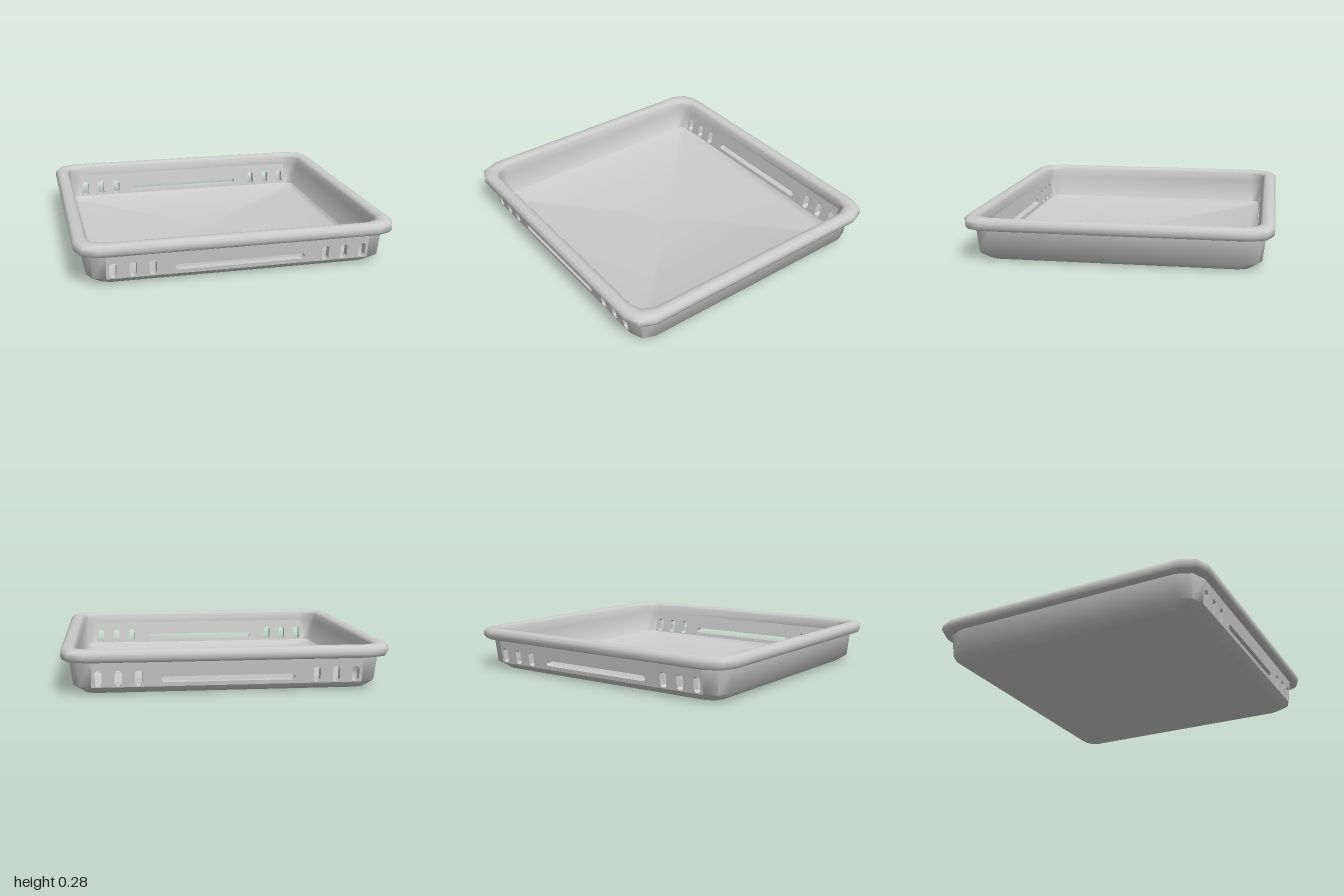
import * as THREE from 'three';
import { toCreasedNormals } from 'three/addons/utils/BufferGeometryUtils.js';

const material = new THREE.MeshStandardMaterial({ color: 0xcccccc });
const DEPTH_INSET = 0.055; // the tray is slightly shorter in z than in x
const WALL_X = 0.82; // half width of the slotted wall panels
const LOW = 0.045, HIGH = 0.2; // height range of the walls

// Cross-section from the underside, up and over the rim, down to the floor:
// [half width, height, corner radius]
const PROFILE = [
  [0.865, 0, 0.075],
  [0.93, LOW, 0.11],
  [0.95, HIGH, 0.13],
  [0.97, 0.2, 0.13],
  [0.99, 0.206, 0.13],
  [1, 0.225, 0.13],
  [1, 0.255, 0.13],
  [0.985, 0.273, 0.13],
  [0.955, 0.28, 0.125],
  [0.925, 0.273, 0.115],
  [0.912, 0.255, 0.11],
  [0.91, HIGH, 0.09],
  [0.88, LOW, 0.06],
  [0.84, 0.025, 0.05],
];
const OUTER_WALL = 1, INNER_WALL = 11; // profile steps that carry the panels

// Twelve points round a rectangle with two-segment corners
function ring([halfX, y, r]) {
  const points = [];
  for (let corner = 0; corner < 4; corner++) {
    const sx = corner === 0 || corner === 3 ? 1 : -1;
    const sz = corner < 2 ? 1 : -1;
    for (let step = 0; step < 3; step++) {
      const a = (corner + step / 2) * Math.PI / 2;
      points.push(
        sx * (halfX - r) + r * Math.cos(a), y,
        sz * (halfX - DEPTH_INSET - r) + r * Math.sin(a));
    }
  }
  return points;
}

// Body, rim and floor in one skin, left open where the slotted panels go
function shellGeometry() {
  const n = 12, last = PROFILE.length - 1;
  const positions = PROFILE.flatMap(ring);
  positions.push(0, 0, 0, 0, PROFILE[last][1], 0);
  const bottom = PROFILE.length * n, floor = bottom + 1;
  const index = [];
  for (let j = 0; j < n; j++) {
    const k = (j + 1) % n;
    index.push(bottom, j, k, floor, last * n + k, last * n + j);
    for (let i = 0; i < last; i++) {
      const panel = (i === OUTER_WALL || i === INNER_WALL) && (j === 2 || j === 8);
      if (panel) continue;
      const a = i * n + j, b = i * n + k;
      index.push(a, a + n, b, b, a + n, b + n);
    }
  }
  const geometry = new THREE.BufferGeometry();
  geometry.setAttribute('position', new THREE.Float32BufferAttribute(positions, 3));
  geometry.setIndex(index);
  return toCreasedNormals(geometry, 1);
}

// Upright or lying slot with clipped corners
function slot(x, y, w, h, c) {
  const corners = [
    [-w + c, -h], [w - c, -h], [w, -h + c], [w, h - c],
    [w - c, h], [-w + c, h], [-w, h - c], [-w, -h + c],
  ];
  return new THREE.Path(corners.map(([px, py]) => new THREE.Vector2(x + px, y + py)));
}

// Wall with one long slot and three short ones at each end, leaning outwards
function panelGeometry() {
  const shape = new THREE.Shape([
    new THREE.Vector2(-WALL_X, LOW), new THREE.Vector2(WALL_X, LOW),
    new THREE.Vector2(WALL_X, HIGH), new THREE.Vector2(-WALL_X, HIGH),
  ]);
  shape.holes.push(slot(0, 0.088, 0.405, 0.018, 0.012));
  for (const side of [-1, 1]) {
    for (const x of [0.54, 0.66, 0.78]) shape.holes.push(slot(side * x, 0.098, 0.022, 0.047, 0.012));
  }
  const geometry = new THREE.ExtrudeGeometry(shape, { depth: 1, bevelEnabled: false });
  const p = geometry.attributes.position;
  const wallZ = (step0, step1, t) =>
    THREE.MathUtils.lerp(PROFILE[step0][0], PROFILE[step1][0], t) - DEPTH_INSET;
  for (let i = 0; i < p.count; i++) {
    const t = (p.getY(i) - LOW) / (HIGH - LOW);
    const inner = wallZ(INNER_WALL + 1, INNER_WALL, t);
    const outer = wallZ(OUTER_WALL, OUTER_WALL + 1, t);
    p.setZ(i, THREE.MathUtils.lerp(inner, outer, p.getZ(i)));
  }
  geometry.computeVertexNormals();
  return geometry;
}

export function createModel() {
  const group = new THREE.Group();
  group.name = 'tray';

  const shell = new THREE.Mesh(shellGeometry(), material);
  shell.name = 'trayShell';
  group.add(shell);

  // Front and back slotted walls
  const panel = panelGeometry();
  for (const [name, turn] of [['frontSlottedWall', 0], ['backSlottedWall', Math.PI]]) {
    const wall = new THREE.Mesh(panel, material);
    wall.name = name;
    wall.rotation.y = turn;
    group.add(wall);
  }
  return group;
}
